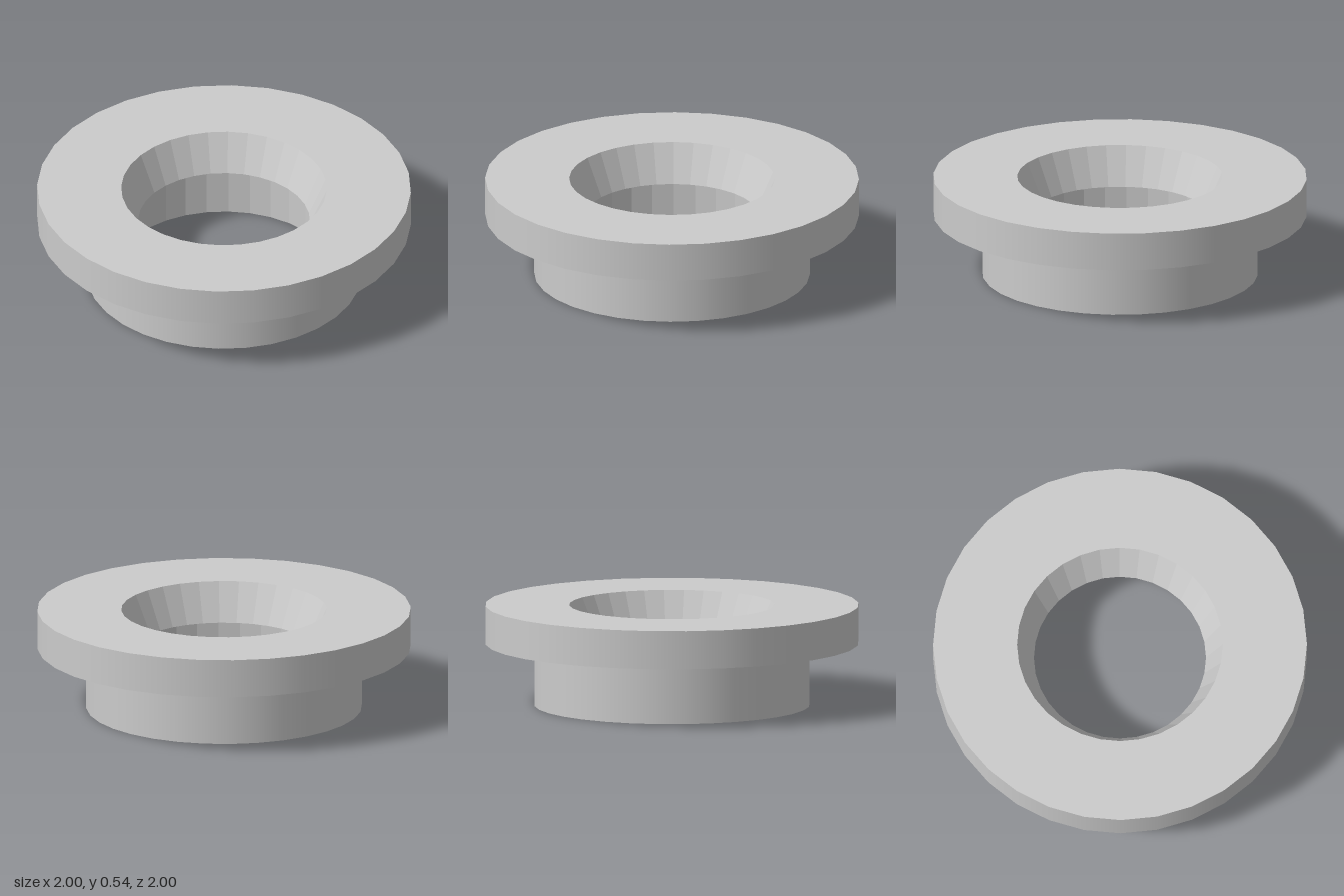
import * as THREE from 'three';

const SIDES = 32;
const smooth = new THREE.MeshStandardMaterial({ color: 0xcccccc });
const faceted = new THREE.MeshStandardMaterial({ color: 0xcccccc, flatShading: true });

// One surface of revolution between two [radius, height] points, with sharp ends
function band(name, from, to, material) {
  const points = [from, to].map(([r, y]) => new THREE.Vector2(r, y));
  const mesh = new THREE.Mesh(new THREE.LatheGeometry(points, SIDES), material);
  mesh.name = name;
  return mesh;
}

export function createModel() {
  const top = 0.54, step = 0.334;
  const flangeR = 1, collarR = 0.738, mouthR = 0.55, throatR = 0.46, boreR = 0.592;

  // Wide flange with a tapered hole
  const flange = new THREE.Group();
  flange.name = 'flange';
  flange.add(
    band('flangeUnderside', [collarR, step], [flangeR, step], faceted),
    band('flangeRim', [flangeR, step], [flangeR, top], smooth),
    band('flangeTop', [flangeR, top], [mouthR, top], faceted),
    band('taperedHole', [mouthR, top], [throatR, step], faceted)
  );

  // Narrower collar below, with a wider straight bore
  const collar = new THREE.Group();
  collar.name = 'collar';
  collar.add(
    band('innerLedge', [throatR, step], [boreR, step], faceted),
    band('collarBore', [boreR, step], [boreR, 0], faceted),
    band('collarBottom', [boreR, 0], [collarR, 0], faceted),
    band('collarWall', [collarR, 0], [collarR, step], smooth)
  );

  const model = new THREE.Group();
  model.name = 'flangedBushing';
  model.add(flange, collar);
  return model;
}
